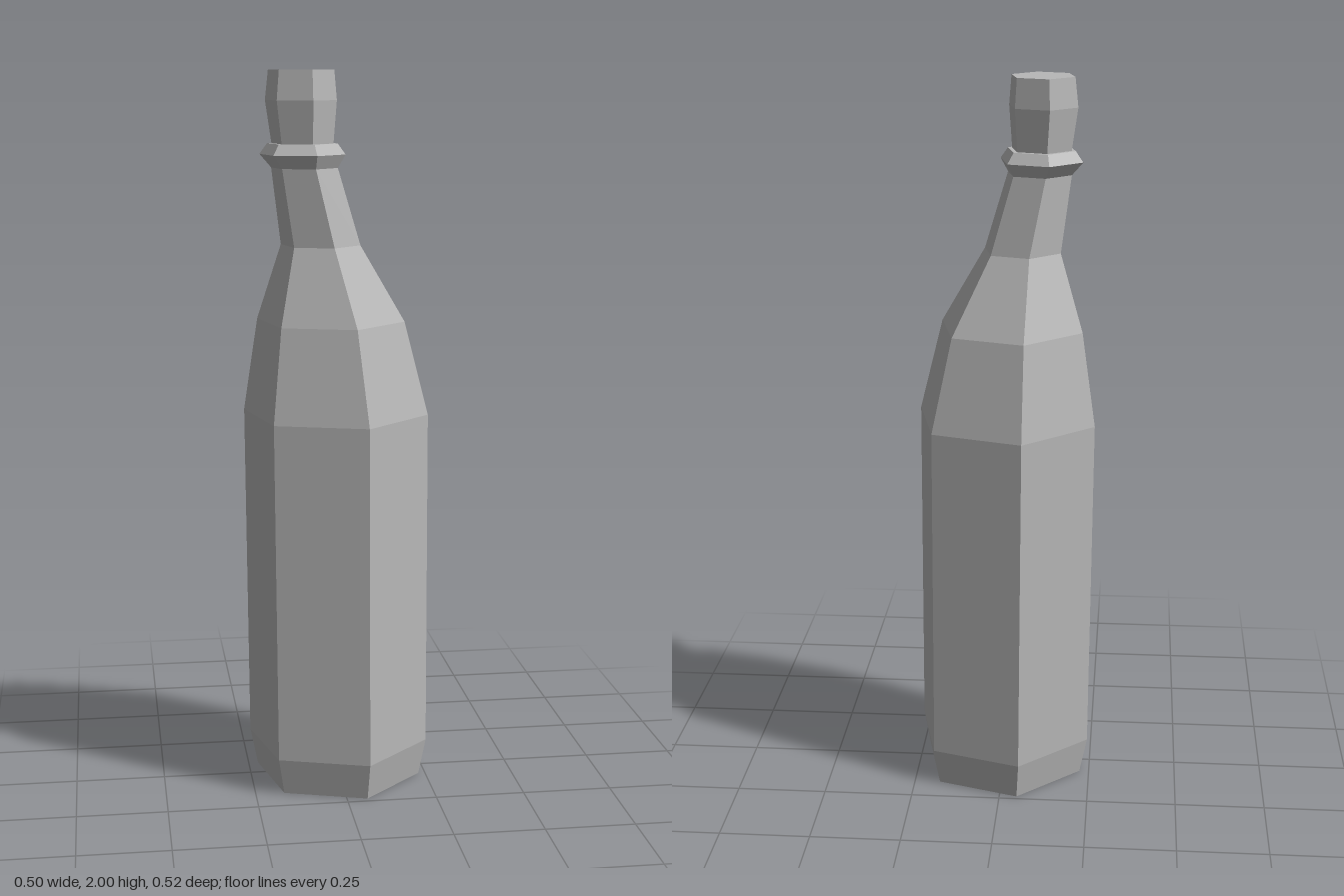
import * as THREE from 'three';

const SIDES = 6;
const START = THREE.MathUtils.degToRad(17); // hexagon's turn about y
const RX = 0.262, RZ = 0.267;               // body radii at scale 1

// Skins hexagonal rings [y, centreX, centreZ, scale] from bottom to top.
function loft(rings, capBottom, capTop) {
  const pos = [];
  const pt = ([y, cx, cz, s], i) => {
    const a = START + (i / SIDES) * Math.PI * 2;
    return [cx + RX * s * Math.cos(a), y, cz + RZ * s * Math.sin(a)];
  };
  for (let i = 0; i < SIDES; i++) {
    for (let k = 0; k < rings.length - 1; k++) {
      const a = pt(rings[k], i), b = pt(rings[k], i + 1);
      const d = pt(rings[k + 1], i), c = pt(rings[k + 1], i + 1);
      pos.push(...a, ...d, ...c, ...a, ...c, ...b);
    }
    const lo = rings[0], hi = rings[rings.length - 1];
    if (capBottom) pos.push(lo[1], lo[0], lo[2], ...pt(lo, i), ...pt(lo, i + 1));
    if (capTop) pos.push(hi[1], hi[0], hi[2], ...pt(hi, i + 1), ...pt(hi, i));
  }
  const g = new THREE.BufferGeometry();
  g.setAttribute('position', new THREE.Float32BufferAttribute(pos, 3));
  g.computeVertexNormals();
  return g;
}

export function createModel() {
  const group = new THREE.Group();
  group.name = 'bottle';
  const grey = new THREE.MeshStandardMaterial({ color: 0xb8b8b8, flatShading: true });
  grey.name = 'grey';

  const add = (name, rings, capBottom = false, capTop = false) => {
    const mesh = new THREE.Mesh(loft(rings, capBottom, capTop), grey);
    mesh.name = name;
    group.add(mesh);
  };

  // Rings shared where parts meet
  const shoulder = [1.53, -0.046, 0.017, 0.422];
  const neckTop = [1.74, -0.091, 0.029, 0.35];
  const stopperBase = [1.805, -0.096, 0.027, 0.325];

  // Body with bevelled foot and sloping shoulders
  add('body', [
    [0, 0.004, -0.002, 0.905],
    [0.105, 0.003, 0, 0.985],
    [1.06, -0.003, 0, 0.995],
    [1.32, -0.017, 0.003, 0.79],
    shoulder,
  ], true);

  // Bent neck leaning to one side
  add('neck', [shoulder, neckTop]);

  // Pointed collar around the mouth
  add('collar', [
    neckTop,
    [1.776, -0.096, 0.025, 0.452],
    [1.805, -0.096, 0.026, 0.37],
    stopperBase,
  ]);

  // Swelling stopper
  add('stopper', [
    stopperBase,
    [1.92, -0.1, 0.028, 0.375],
    [2, -0.099, 0.027, 0.345],
  ], false, true);

  return group;
}
